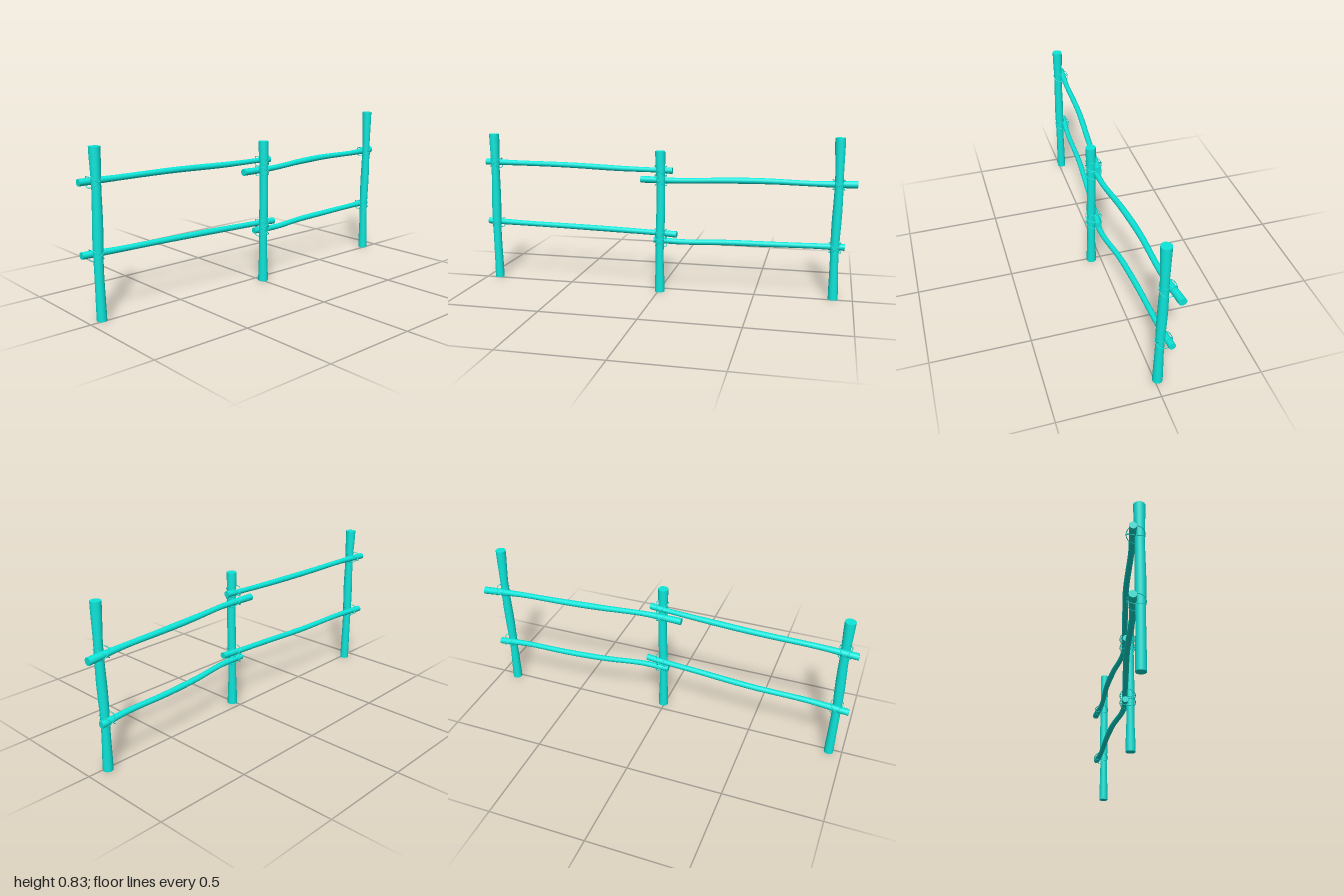
import * as THREE from 'three';

const material = new THREE.MeshStandardMaterial({ color: 0x0ce6da });
const V = (x, y, z) => new THREE.Vector3(x, y, z);

// Round pole following a curve, with a radius that changes along its length
function pole(name, points, radii, alongX) {
  const curve = new THREE.CatmullRomCurve3(points.map(p => V(...p)));
  const geo = new THREE.CylinderGeometry(1, 1, 1, 20, 24);
  if (alongX) geo.rotateZ(-Math.PI / 2);
  const pos = geo.attributes.position;
  const v = V(0, 0, 0);
  for (let i = 0; i < pos.count; i++) {
    v.fromBufferAttribute(pos, i);
    const t = THREE.MathUtils.clamp((alongX ? v.x : v.y) + 0.5, 0, 1);
    const s = t * (radii.length - 1);
    const k = Math.min(Math.floor(s), radii.length - 2);
    const r = THREE.MathUtils.lerp(radii[k], radii[k + 1], THREE.MathUtils.smoothstep(s - k, 0, 1));
    const c = curve.getPoint(t);
    if (alongX) pos.setXYZ(i, c.x, c.y + v.y * r, c.z + v.z * r);
    else pos.setXYZ(i, c.x + v.x * r, c.y, c.z + v.z * r);
  }
  const mesh = new THREE.Mesh(geo, material);
  mesh.name = name;
  return mesh;
}

// Two crossed wire loops lashing a rail to a post
function wireTie(name, x, y, z) {
  const tie = new THREE.Group();
  tie.name = name;
  for (const side of [-1, 1]) {
    const pts = [];
    for (let i = 0; i < 16; i++) {
      const a = (i / 16) * Math.PI * 2;
      const w = Math.cos(a);
      pts.push(V(w * 0.03, side * w * 0.025, Math.sin(a) * 0.041));
    }
    const loop = new THREE.CatmullRomCurve3(pts, true);
    const mesh = new THREE.Mesh(new THREE.TubeGeometry(loop, 48, 0.0018, 6, true), material);
    mesh.name = 'wireLoop';
    tie.add(mesh);
  }
  tie.position.set(x, y, z);
  return tie;
}

export function createModel() {
  const group = new THREE.Group();
  group.name = 'fence';

  // Posts, slightly waisted and bent
  group.add(
    pole('rightPost', [[-0.933, 0, -0.015], [-0.937, 0.3, -0.014], [-0.932, 0.55, -0.013], [-0.932, 0.805, -0.014]],
      [0.024, 0.022, 0.025, 0.022, 0.027]),
    pole('middlePost', [[0.008, 0, 0.051], [0.008, 0.25, 0.051], [0.014, 0.5, 0.05], [0.01, 0.745, 0.05]],
      [0.026, 0.021, 0.023, 0.022, 0.026]),
    pole('leftPost', [[0.902, 0, -0.014], [0.9, 0.28, -0.015], [0.907, 0.56, -0.015], [0.903, 0.828, -0.013]],
      [0.025, 0.021, 0.024, 0.021, 0.026])
  );

  // Rails, running behind the posts
  group.add(
    pole('upperRightRail', [[-1, 0.646, -0.05], [-0.82, 0.647, -0.035], [-0.5, 0.646, -0.025], [-0.2, 0.641, 0.002], [0, 0.642, 0.019], [0.07, 0.643, 0.028]],
      [0.017, 0.014, 0.015, 0.013, 0.017], true),
    pole('lowerRightRail', [[-1, 0.312, -0.053], [-0.8, 0.312, -0.032], [-0.5, 0.31, -0.022], [-0.2, 0.31, 0.004], [0, 0.309, 0.022], [0.095, 0.309, 0.034]],
      [0.017, 0.014, 0.015, 0.014, 0.017], true),
    pole('upperLeftRail', [[-0.1, 0.591, 0.019], [0.1, 0.591, 0.022], [0.33, 0.595, -0.01], [0.55, 0.596, -0.03], [0.8, 0.591, -0.037], [1, 0.59, -0.062]],
      [0.018, 0.014, 0.016, 0.014, 0.0195], true),
    pole('lowerLeftRail', [[-0.03, 0.272, 0.021], [0.12, 0.268, 0.024], [0.33, 0.268, -0.01], [0.55, 0.267, -0.028], [0.8, 0.269, -0.038], [0.95, 0.266, -0.055]],
      [0.016, 0.014, 0.015, 0.014, 0.0175], true)
  );

  // Wire ties at every crossing
  const crossings = [
    [-0.934, 0.646, -0.031], [0.011, 0.643, 0.038],
    [-0.936, 0.312, -0.031], [0.011, 0.309, 0.038],
    [0.011, 0.591, 0.038], [0.906, 0.591, -0.032],
    [0.011, 0.27, 0.038], [0.901, 0.267, -0.032]
  ];
  crossings.forEach(([x, y, z], i) => group.add(wireTie('wireTie' + (i + 1), x, y, z)));

  return group;
}
